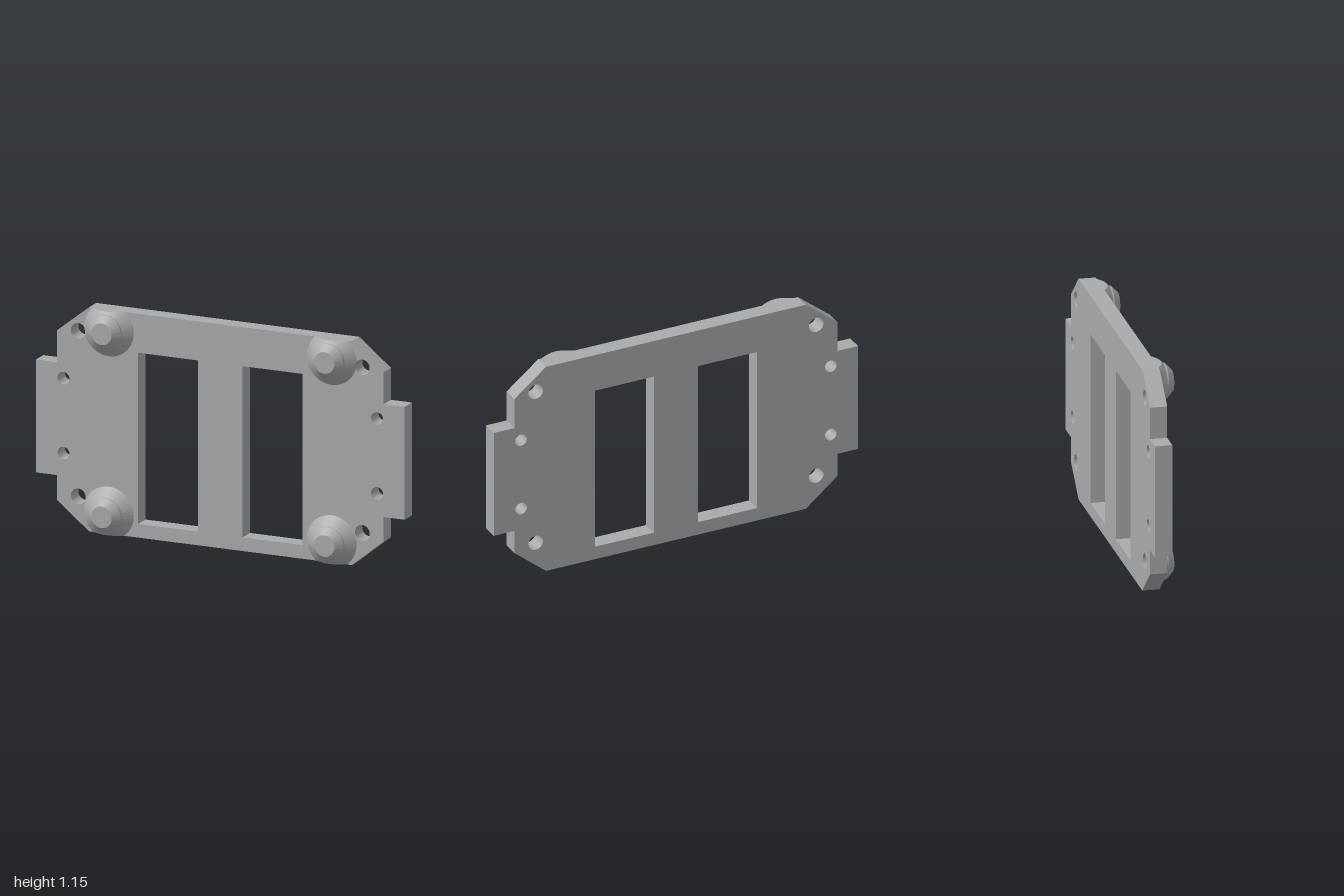
import * as THREE from 'three';
import { toCreasedNormals } from 'three/addons/utils/BufferGeometryUtils.js';

const HEIGHT = 1.147, DEPTH = 0.087;
const FOOT_X = 0.604, FOOT_R = 0.135;
const FOOT_Y = [0.107, 1.045];
// screw holes on the +x side: x, y, radius
const HOLES = [[0.77, 0.172, 0.04], [0.77, 1.02, 0.04], [0.85, 0.384, 0.032], [0.85, 0.768, 0.032]];

function polygon(points, Type) {
  return new Type(points.map(([x, y]) => new THREE.Vector2(x, y)));
}

// Flat plate with chamfered corners, side tabs, two windows and screw holes
function plateGeometry() {
  const half = [[0.713, 0], [0.886, 0.142], [0.886, 0.267], [1, 0.267],
    [1, 0.845], [0.886, 0.845], [0.886, 1.008], [0.713, HEIGHT]];
  const mirrored = half.map(([x, y]) => [-x, y]).reverse();
  const shape = polygon([...half, ...mirrored], THREE.Shape);
  for (const s of [-1, 1]) {
    shape.holes.push(polygon([[s * 0.121, 0.07], [s * 0.121, 0.947], [s * 0.445, 0.947], [s * 0.445, 0.07]], THREE.Path));
    for (const [x, y, r] of HOLES) {
      const hole = new THREE.Path();
      hole.absarc(s * x, y, r, 0, Math.PI * 2, true);
      shape.holes.push(hole);
    }
  }
  const geo = new THREE.ExtrudeGeometry(shape, { depth: DEPTH, bevelEnabled: false, curveSegments: 24 });
  geo.translate(0, 0, -DEPTH);
  return toCreasedNormals(geo, 0.5);
}

// Distance from a foot's axis to the plate edge or a screw hole, at most FOOT_R
function rimRadius(cx, cy, angle) {
  const dx = Math.cos(angle), dy = Math.sin(angle);
  let r = FOOT_R;
  if (dy > 1e-6) r = Math.min(r, (HEIGHT - cy) / dy);
  if (dy < -1e-6) r = Math.min(r, -cy / dy);
  for (const [hx, hy, hr] of HOLES) {
    const ox = Math.sign(cx) * hx - cx, oy = hy - cy;
    const along = ox * dx + oy * dy;
    const disc = hr * hr - (ox * ox + oy * oy - along * along);
    if (along > 0 && disc > 0) r = Math.min(r, along - Math.sqrt(disc));
  }
  return r;
}

// Stepped conical foot, trimmed flush with the plate edge
function footGeometry(cx, cy) {
  const N = 96, pos = [], index = [];
  for (let j = 0; j < N; j++) {
    const a = (j / N) * Math.PI * 2;
    const rim = rimRadius(cx, cy, a);
    const profile = [[0, 0.087], [0.055, 0.087], [0.088, 0.054], [0.09, 0.045], [rim, FOOT_R - rim], [rim, 0]];
    for (const [r, z] of profile) pos.push(r * Math.cos(a), r * Math.sin(a), z);
    for (let i = 0; i < 5; i++) {
      const p = j * 6 + i, q = ((j + 1) % N) * 6 + i;
      if (i > 0) index.push(p, p + 1, q);
      // skip empty wall triangles where the cone meets the plate untrimmed
      index.push(q, p + 1, q + 1);
    }
  }
  const geo = new THREE.BufferGeometry();
  geo.setAttribute('position', new THREE.Float32BufferAttribute(pos, 3));
  geo.setIndex(index);
  return toCreasedNormals(geo, 0.5);
}

export function createModel() {
  const group = new THREE.Group();
  group.name = 'mountingPlate';
  const grey = new THREE.MeshStandardMaterial({ color: 0xaaaaaa });
  grey.name = 'grey';

  const plate = new THREE.Mesh(plateGeometry(), grey);
  plate.name = 'plate';
  group.add(plate);

  for (const s of [-1, 1]) {
    FOOT_Y.forEach((y, i) => {
      const foot = new THREE.Mesh(footGeometry(s * FOOT_X, y), grey);
      foot.name = (i ? 'upper' : 'lower') + (s > 0 ? 'Left' : 'Right') + 'Foot';
      foot.position.set(s * FOOT_X, y, 0);
      group.add(foot);
    });
  }
  return group;
}
